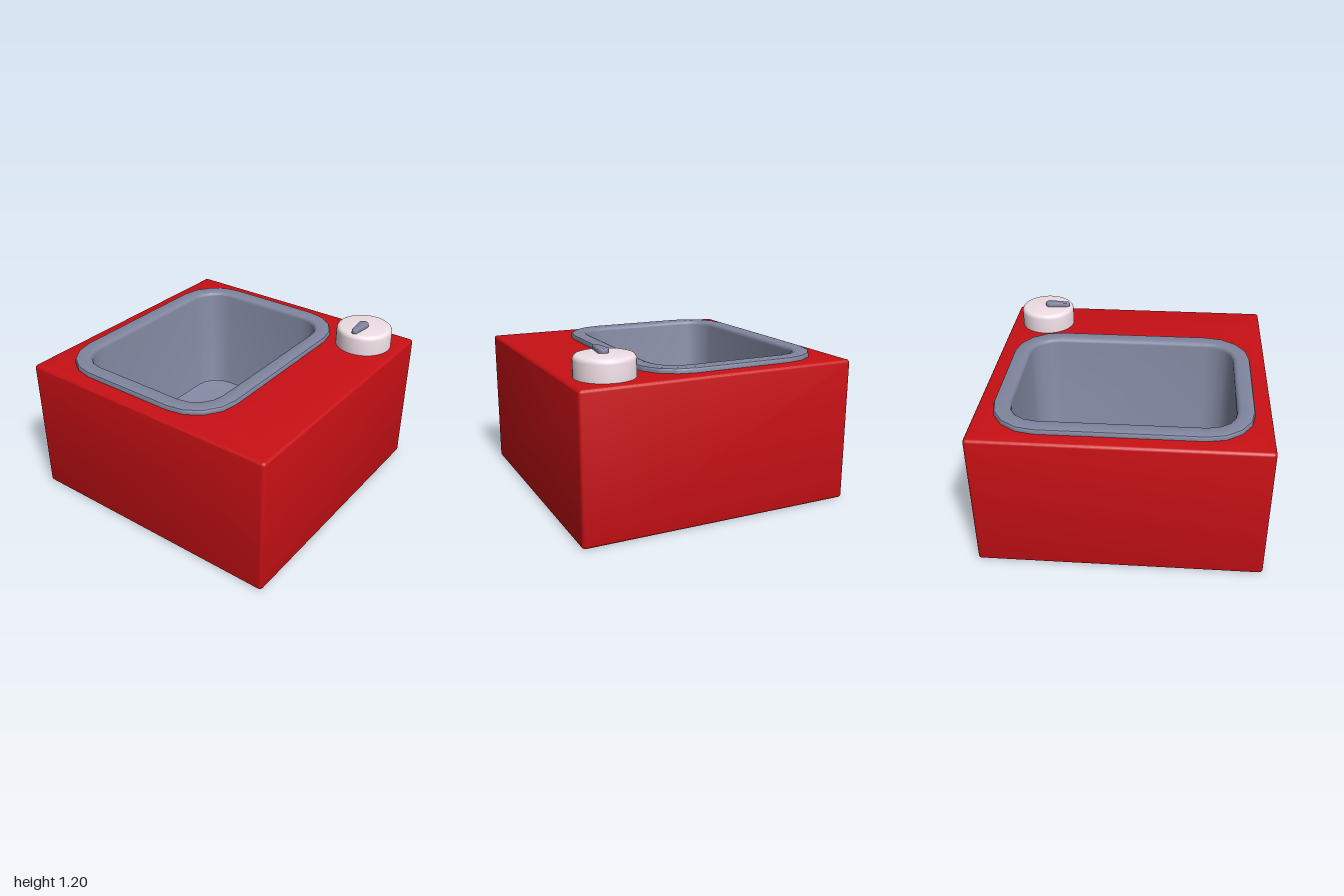
import * as THREE from 'three';
import { toCreasedNormals } from 'three/addons/utils/BufferGeometryUtils.js';

const mat = (color) => new THREE.MeshStandardMaterial({ color });
const red = mat(0xc81015), slate = mat(0x80869f), pale = mat(0xf0dfe6);
const CREASE = 0.6;
const STEPS = 4; // segments per rounded corner

// Closed rounded-rectangle ring: corner centres at (+-cx, z0..z1), corner radius r, height y
function ring({ cx, z0, z1 }, r, y) {
  const points = [];
  const corners = [[cx, z1], [-cx, z1], [-cx, z0], [cx, z0]];
  corners.forEach(([x, z], c) => {
    for (let s = 0; s <= STEPS; s++) {
      const a = (c + s / STEPS) * Math.PI / 2;
      points.push([x + r * Math.cos(a), y, z + r * Math.sin(a)]);
    }
  });
  return points;
}

// Skin between successive rings, with optional flat caps on the first and last ring
function loft(rings, capStart, capEnd) {
  const n = rings[0].length;
  const pos = rings.flat(2);
  const index = [];
  for (let i = 0; i < rings.length - 1; i++) {
    for (let j = 0; j < n; j++) {
      const k = (j + 1) % n;
      const a = i * n + j, b = a + n, c = i * n + k, d = c + n;
      index.push(a, b, c, c, b, d);
    }
  }
  const cap = (base, up) => {
    for (let j = 1; j < n - 1; j++) {
      if (up) index.push(base, base + j + 1, base + j);
      else index.push(base, base + j, base + j + 1);
    }
  };
  if (capStart) cap(0, false);
  if (capEnd) cap((rings.length - 1) * n, true);
  const geo = new THREE.BufferGeometry();
  geo.setAttribute('position', new THREE.Float32BufferAttribute(pos, 3));
  geo.setIndex(index);
  return toCreasedNormals(geo, CREASE);
}

function add(parent, name, geometry, material) {
  const mesh = new THREE.Mesh(geometry, material);
  mesh.name = name;
  parent.add(mesh);
  return mesh;
}

export function createModel() {
  const model = new THREE.Group();
  model.name = 'basinUnit';

  const outer = { cx: 0.975, z0: -0.975, z1: 0.975 };
  const opening = { cx: 0.56, z0: -0.565, z1: 0.15 };
  const top = 1.022;

  // Softly rounded cabinet, its top open beneath the rim
  const body = [];
  for (let i = 0; i <= 3; i++) {
    const a = i / 3 * Math.PI / 2;
    body.push(ring(outer, 0.005 + 0.02 * Math.sin(a), 0.02 - 0.02 * Math.cos(a)));
  }
  for (let i = 0; i <= 3; i++) {
    const a = i / 3 * Math.PI / 2;
    body.push(ring(outer, 0.005 + 0.02 * Math.cos(a), top - 0.02 + 0.02 * Math.sin(a)));
  }
  body.push(ring(opening, 0.26, top));
  add(model, 'cabinet', loft(body, true, false), red);

  // Raised rim running down into a deep basin
  const profile = [
    [0.325, 1.01], [0.325, 1.042], [0.319, 1.053], [0.306, 1.058],
    [0.235, 1.058], [0.216, 1.053], [0.207, 1.043], [0.203, 1.03],
    [0.203, 0.22], [0.197, 0.207], [0.183, 0.2],
  ];
  const basin = profile.map(([r, y]) => ring(opening, r, y));
  add(model, 'basin', loft(basin, false, true), slate);

  // Round control knob with a rounded upper edge
  const knob = new THREE.Group();
  knob.name = 'knob';
  knob.position.set(0.715, top, 0.72);
  model.add(knob);
  const side = [new THREE.Vector2(0.205, -0.01)];
  for (let i = 0; i <= 4; i++) {
    const a = i / 4 * Math.PI / 2;
    side.push(new THREE.Vector2(0.173 + 0.032 * Math.cos(a), 0.116 + 0.032 * Math.sin(a)));
  }
  side.push(new THREE.Vector2(0, 0.148));
  add(knob, 'knobBody', toCreasedNormals(new THREE.LatheGeometry(side, 40), CREASE), pale);

  // Tapered pointer lying on the knob, narrow end outward
  const bevel = 0.01;
  const shape = new THREE.Shape();
  shape.absarc(-0.022, 0, 0.027, -Math.PI / 2, Math.PI / 2, false);
  shape.absarc(-0.155, 0, 0.011, Math.PI / 2, Math.PI * 1.5, false);
  shape.closePath();
  const pointer = new THREE.ExtrudeGeometry(shape, {
    depth: 0.025, bevelEnabled: true, bevelSize: bevel, bevelThickness: bevel,
    bevelSegments: 3, curveSegments: 8,
  });
  pointer.rotateX(-Math.PI / 2);
  add(knob, 'knobPointer', toCreasedNormals(pointer, CREASE), slate).position.y = 0.143;

  return model;
}
